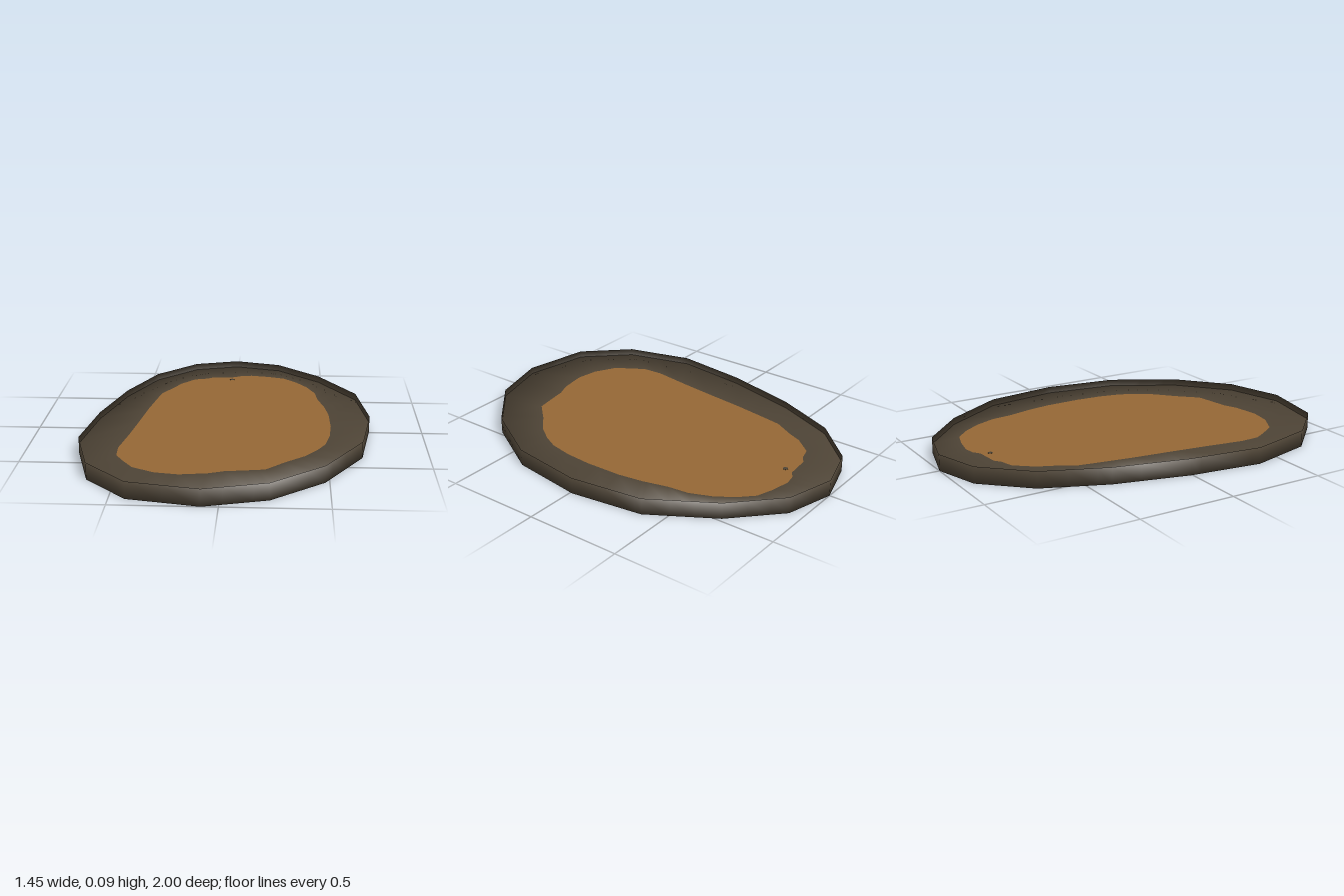
import * as THREE from 'three';

const HEIGHT = 0.085;
const TOP = 0.05;      // recessed upper face
const BOTTOM = 0.036;  // recessed lower face

// Plan outlines as x, z pairs, clockwise seen from above
const RIM = [
  0, -1, 0.25, -0.93, 0.48, -0.71, 0.675, -0.39, 0.727, -0.01, 0.67, 0.37, 0.48, 0.695, 0.225, 0.915,
  -0.08, 1, -0.425, 0.93, -0.635, 0.71, -0.727, 0.37, -0.68, -0.01, -0.585, -0.39, -0.45, -0.71, -0.24, -0.93,
];
const CORE = [
  0.09, -0.82, 0.19, -0.80, 0.28, -0.77, 0.35, -0.70, 0.41, -0.61, 0.455, -0.50, 0.467, -0.39, 0.50, -0.26,
  0.52, -0.13, 0.525, 0.06, 0.515, 0.20, 0.49, 0.32, 0.45, 0.40, 0.39, 0.485, 0.295, 0.57, 0.20, 0.67,
  0.11, 0.685, 0.01, 0.70, -0.065, 0.73, -0.20, 0.75, -0.315, 0.73, -0.425, 0.67, -0.485, 0.58, -0.52, 0.515,
  -0.525, 0.415, -0.495, 0.22, -0.47, 0.03, -0.445, -0.18, -0.42, -0.34, -0.40, -0.46, -0.34, -0.57,
  -0.31, -0.64, -0.235, -0.73, -0.165, -0.75, -0.13, -0.775, -0.005, -0.785, 0.03, -0.81,
];

const toPoints = (flat) => {
  const points = [];
  for (let i = 0; i < flat.length; i += 2) points.push(new THREE.Vector2(flat[i], flat[i + 1]));
  return points;
};

// Distance from the centre to an outline along a given angle
function reach(points, angle) {
  const dir = new THREE.Vector2(Math.cos(angle), Math.sin(angle));
  for (let i = 0; i < points.length; i++) {
    const a = points[i], b = points[(i + 1) % points.length];
    const ca = dir.cross(a), cb = dir.cross(b);
    if (ca <= 1e-9 && cb > 1e-9) {
      const d = a.clone().lerp(b, ca / (ca - cb)).dot(dir);
      if (d > 0) return d;
    }
  }
  return 0;
}

// Skin a sequence of rings; tilt is the slope of the soft normal, from -1 (down) to 1 (up)
function loft(angles, rings) {
  const n = angles.length, positions = [], normals = [], index = [];
  for (const { radii, y, tilt } of rings) {
    const out = Math.sqrt(1 - tilt * tilt);
    angles.forEach((a, i) => {
      positions.push(Math.cos(a) * radii[i], y, Math.sin(a) * radii[i]);
      normals.push(Math.cos(a) * out, tilt, Math.sin(a) * out);
    });
  }
  for (let r = 0; r < rings.length - 1; r++) {
    for (let k = 0; k < n; k++) {
      const k1 = (k + 1) % n, a = r * n, b = a + n;
      index.push(a + k, a + k1, b + k, a + k1, b + k1, b + k);
    }
  }
  const geometry = new THREE.BufferGeometry();
  geometry.setAttribute('position', new THREE.Float32BufferAttribute(positions, 3));
  geometry.setAttribute('normal', new THREE.Float32BufferAttribute(normals, 3));
  geometry.setIndex(index);
  return geometry;
}

export function createModel() {
  const group = new THREE.Group();
  group.name = 'woodSlice';
  const bark = new THREE.MeshStandardMaterial({ name: 'dark bark', color: 0x4e4436, side: THREE.DoubleSide });
  const wood = new THREE.MeshStandardMaterial({ name: 'brown wood', color: 0x966835 });

  const add = (name, geometry, material) => {
    const mesh = new THREE.Mesh(geometry, material);
    mesh.name = name;
    group.add(mesh);
    return mesh;
  };

  // Both outlines share one set of angles, so every corner is kept
  const rim = toPoints(RIM), core = toPoints(CORE);
  const angles = [...rim, ...core].map((p) => Math.atan2(p.y, p.x)).sort((a, b) => a - b)
    .filter((a, i, all) => i === 0 || a - all[i - 1] > 1e-4);
  const outer = angles.map((a) => reach(rim, a));
  const inner = angles.map((a) => reach(core, a));
  const centre = angles.map(() => 0);

  // Thin upright wall standing proud of both faces
  add('barkWall', loft(angles, [
    { radii: outer, y: HEIGHT, tilt: 0.65 }, { radii: outer, y: 0, tilt: -0.65 },
  ]), bark);

  // Upper face: bark border around the wood
  add('topBorder', loft(angles, [
    { radii: inner, y: TOP, tilt: 1 }, { radii: outer, y: TOP, tilt: 0.75 },
  ]), bark);
  add('topWood', loft(angles, [
    { radii: centre, y: TOP, tilt: 1 }, { radii: inner, y: TOP, tilt: 1 },
  ]), wood);

  // Lower face, the same pattern turned down
  add('bottomBorder', loft(angles, [
    { radii: outer, y: BOTTOM, tilt: -0.75 }, { radii: inner, y: BOTTOM, tilt: -1 },
  ]), bark);
  add('bottomWood', loft(angles, [
    { radii: inner, y: BOTTOM, tilt: -1 }, { radii: centre, y: BOTTOM, tilt: -1 },
  ]), wood);

  // Small dark fleck near the back edge
  const fleck = add('fleck', new THREE.CylinderGeometry(0.014, 0.014, 0.002, 6), bark);
  fleck.position.set(-0.02, TOP, -0.74);

  return group;
}
